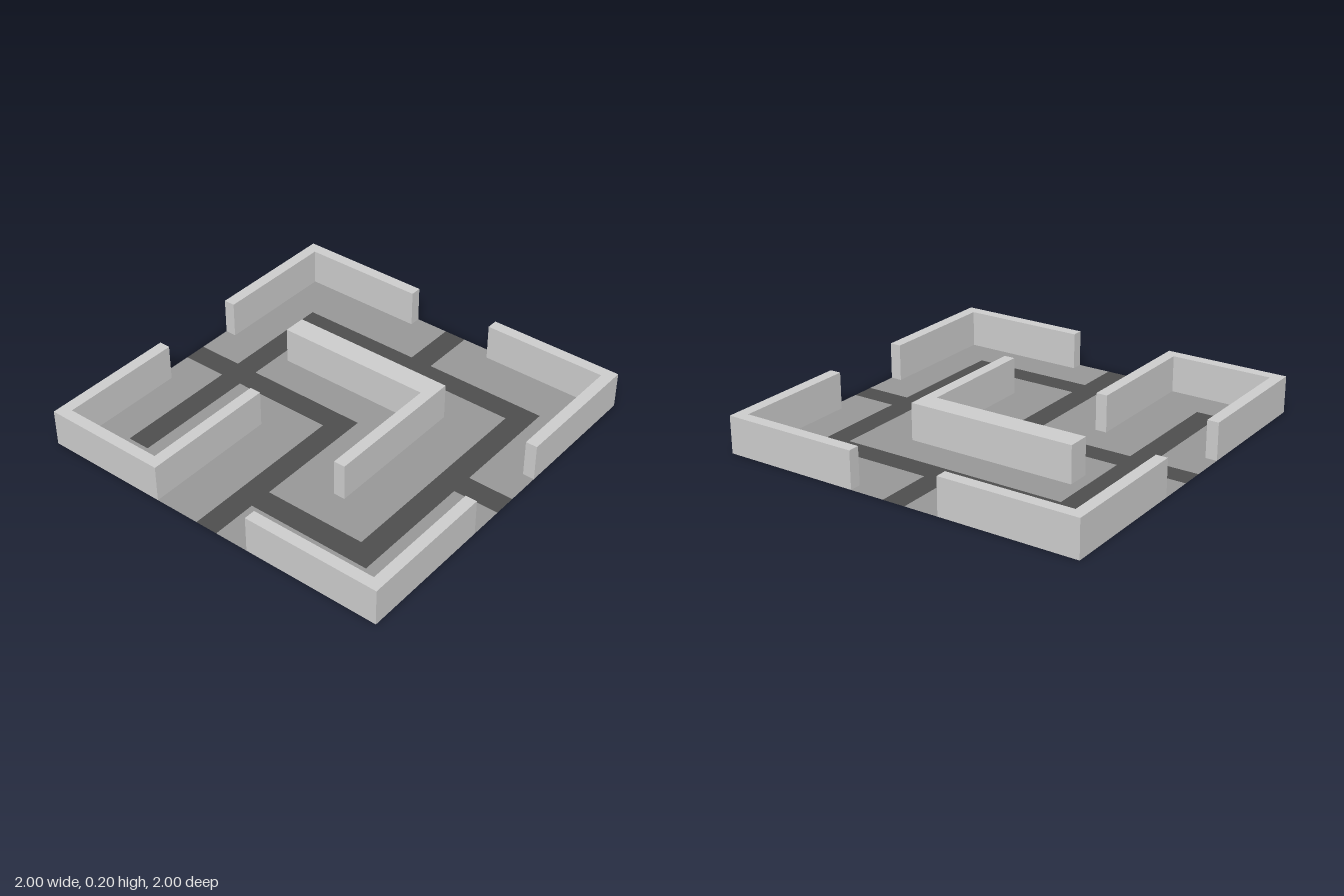
import * as THREE from 'three';

const UNIT = 1 / 16; // plan grid step
const WALL_HEIGHT = 0.2;

const material = (color) => new THREE.MeshStandardMaterial({ color, side: THREE.DoubleSide });

// Plan corners are [x, z] in grid steps; z is flipped so the shape can be laid flat
const toPoints = (corners) => corners.map(([x, z]) => new THREE.Vector2(x * UNIT, -z * UNIT));

function slab(corners, hole) {
  const shape = new THREE.Shape(toPoints(corners));
  if (hole) shape.holes.push(new THREE.Path(toPoints(hole)));
  return new THREE.ShapeGeometry(shape).rotateX(-Math.PI / 2);
}

// Hollow wall: extruded plan outline with its underside left open
function wall(corners) {
  const solid = new THREE.ExtrudeGeometry(new THREE.Shape(toPoints(corners)), {
    depth: WALL_HEIGHT, bevelEnabled: false,
  }).rotateX(-Math.PI / 2);
  const pos = solid.attributes.position;
  const kept = [];
  for (let i = 0; i < pos.count; i += 3) {
    const top = Math.max(pos.getY(i), pos.getY(i + 1), pos.getY(i + 2));
    if (top < 0.01) continue;
    for (let k = i; k < i + 3; k++) kept.push(pos.getX(k), pos.getY(k), pos.getZ(k));
  }
  const geometry = new THREE.BufferGeometry();
  geometry.setAttribute('position', new THREE.Float32BufferAttribute(kept, 3));
  geometry.computeVertexNormals();
  return geometry;
}

const rect = ([x0, z0, x1, z1]) => [[x0, z0], [x1, z0], [x1, z1], [x0, z1]];

const WALLS = {
  backRightCornerWall: [[-16, -16], [-4, -16], [-4, -15], [-15, -15], [-15, -4], [-16, -4]],
  backLeftCornerWall: [[4, -16], [16, -16], [16, -4], [15, -4], [15, -15], [4, -15]],
  frontLeftCornerWall: [[15, 4], [16, 4], [16, 16], [4, 16], [4, 15], [15, 15]],
  frontRightUWall: [[-16, 4], [-15, 4], [-15, 15], [-6, 15], [-6, 4], [-5, 4], [-5, 16], [-16, 16]],
  innerWall: [[-9, -6], [6, -6], [6, 7], [5, 7], [5, -4], [-9, -4]],
};

const FLOORS = {
  backRightFloor: [[-4, -16], [-1, -16], [-1, -11], [-12, -11], [-12, -1],
    [-16, -1], [-16, -4], [-15, -4], [-15, -15], [-4, -15]],
  backLeftFloor: [[1, -16], [4, -16], [4, -15], [15, -15], [15, -4],
    [16, -4], [16, -1], [12, -1], [12, -11], [1, -11]],
  frontLeftFloor: [[16, 1], [16, 4], [15, 4], [15, 15], [4, 15],
    [4, 16], [1, 16], [1, 12], [12, 12], [12, 1]],
  frontRightFloor: [[-16, 1], [-12, 1], [-12, 12], [-10, 12], [-10, 1], [-1, 1], [-1, 16],
    [-5, 16], [-5, 4], [-6, 4], [-6, 15], [-15, 15], [-15, 4], [-16, 4]],
  innerFloor: [[-10, -9], [10, -9], [10, 10], [1, 10], [1, -1], [-10, -1]],
};

// Path strips as [x0, z0, x1, z1]
const PATHS = {
  backPath: [-1, -16, 1, -11],
  backCrossPath: [-12, -11, 12, -9],
  rightLongPath: [-12, -9, -10, 12],
  leftLongPath: [10, -9, 12, 10],
  frontCrossPath: [1, 10, 12, 12],
  frontPath: [-1, -1, 1, 16],
  rightEntryPath: [-16, -1, -12, 1],
  rightInnerPath: [-10, -1, -1, 1],
  leftEntryPath: [12, -1, 16, 1],
};

export function createModel() {
  const model = new THREE.Group();
  model.name = 'mazeTile';
  const wallMaterial = material(0xcccccc);
  const floorMaterial = material(0x969696);
  const pathMaterial = material(0x4d4d4d);

  const add = (name, geometry, mat) => {
    const mesh = new THREE.Mesh(geometry, mat);
    mesh.name = name;
    model.add(mesh);
  };

  // Walls
  for (const [name, corners] of Object.entries(WALLS)) add(name, wall(corners), wallMaterial);

  // Floor areas between the paths, cut out under the walls
  for (const [name, corners] of Object.entries(FLOORS)) {
    add(name, slab(corners, name === 'innerFloor' ? WALLS.innerWall : null), floorMaterial);
  }

  // Dark paths, flush with the floor
  for (const [name, strip] of Object.entries(PATHS)) add(name, slab(rect(strip)), pathMaterial);

  return model;
}
